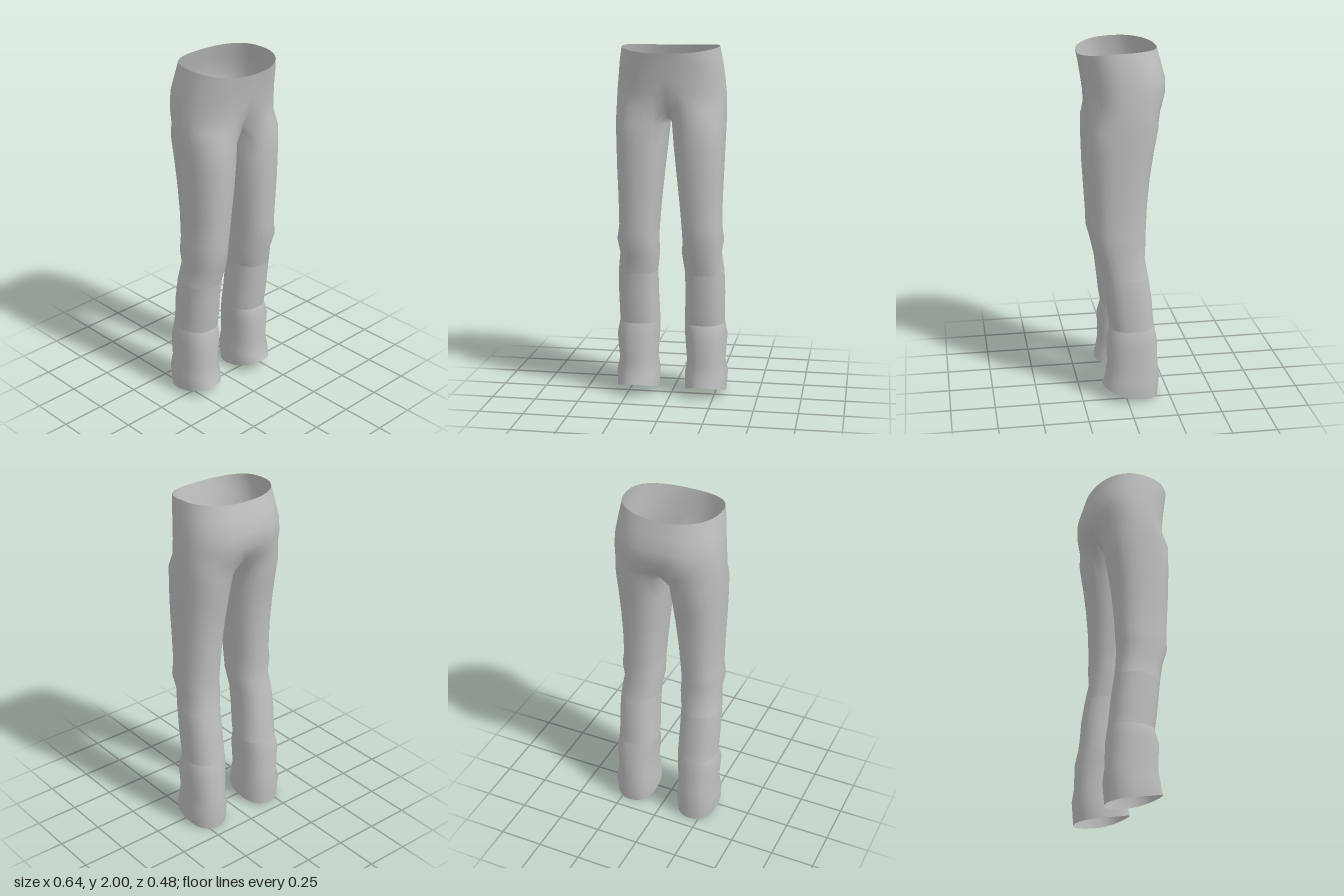
import * as THREE from 'three';
import { mergeGeometries, mergeVertices } from 'three/addons/utils/BufferGeometryUtils.js';

const rad = THREE.MathUtils.degToRad;
// rounded-square version of sine and cosine
const soft = (v, p) => Math.sign(v) * Math.pow(Math.abs(v), p);
const OUTER = 18; // segments from front centre round the hip to back centre
const INNER = 6;  // segments along the inseam

// half cross-section of the hips: height, half width, front z, back z, centre dents
function hipRow([y, w, zf, zb, dentF, dentB], heightAt = () => y) {
  const row = [];
  for (let j = 0; j <= OUTER; j++) {
    const b = (j / OUTER) * Math.PI;
    const x = j === 0 || j === OUTER ? 0 : w * soft(Math.sin(b), 0.85);
    const k = Math.max(0, 1 - x / 0.13) ** 2;
    let z = (zf + zb) / 2 + ((zf - zb) / 2) * soft(Math.cos(b), 0.85);
    z += b < Math.PI / 2 ? -dentF * k : dentB * k;
    row.push(new THREE.Vector3(x, heightAt(b), z));
  }
  return row;
}

// closed cross-section of a leg: height, inner x, outer x, front z, back z
function legRow([y, xi, xo, zf, zb], heightAt = () => y) {
  const row = [];
  for (let j = 0; j <= OUTER + INNER; j++) {
    const a = rad(-45 + 15 * j);
    row.push(new THREE.Vector3(
      (xi + xo) / 2 + ((xo - xi) / 2) * soft(Math.sin(a), 0.87),
      heightAt(a),
      (zf + zb) / 2 + ((zf - zb) / 2) * soft(Math.cos(a), 0.87)));
  }
  return row;
}

// skin between successive rows, running downwards
function loft(rows) {
  const pos = [];
  for (let i = 0; i < rows.length - 1; i++) {
    const n = Math.min(rows[i].length, rows[i + 1].length) - 1;
    for (let j = 0; j < n; j++) {
      const a = rows[i][j], b = rows[i + 1][j], c = rows[i + 1][j + 1], d = rows[i][j + 1];
      for (const p of [a, b, c, a, c, d]) pos.push(p.x, p.y, p.z);
    }
  }
  const g = new THREE.BufferGeometry();
  g.setAttribute('position', new THREE.Float32BufferAttribute(pos, 3));
  return g;
}

// mirrored copy with the winding turned round again
function mirrored(geometry) {
  const g = geometry.clone().scale(-1, 1, 1);
  const p = g.attributes.position.array;
  for (let i = 0; i < p.length; i += 9) {
    for (let k = 0; k < 3; k++) [p[i + 3 + k], p[i + 6 + k]] = [p[i + 6 + k], p[i + 3 + k]];
  }
  return g;
}

function smooth(geometry) {
  geometry.deleteAttribute('normal');
  const g = mergeVertices(geometry, 1e-4);
  g.computeVertexNormals();
  return g;
}

export function createModel() {
  const group = new THREE.Group();
  group.name = 'trousers';
  const cloth = new THREE.MeshStandardMaterial({ color: 0xc0c0c0, side: THREE.DoubleSide });
  cloth.name = 'greyCloth';

  const add = (geometry, name) => {
    const mesh = new THREE.Mesh(smooth(geometry), cloth);
    mesh.name = name;
    group.add(mesh);
  };

  // hips, from the waistline down to the crotch
  const waist = hipRow([2, 0.27, 0.24, -0.193, 0, 0],
    (b) => 1.98 - 0.013 * Math.cos(b) + 0.018 * Math.sin(b) ** 2);
  const hips = [
    [1.91, 0.285, 0.228, -0.217, 0, 0],
    [1.83, 0.295, 0.215, -0.24, 0, 0.004],
    [1.75, 0.303, 0.205, -0.238, 0.008, 0.01],
  ].map((r) => hipRow(r));
  const crotch = hipRow([1.67, 0.307, 0.2, -0.218, 0.045, 0.03]);
  const front = crotch[0], back = crotch[OUTER];

  // crotch seam, dipping between the back and front centres
  const seam = [];
  for (let k = 1; k < INNER; k++) {
    const t = k / INNER;
    seam.push(new THREE.Vector3(0, 1.6 + 0.07 * Math.abs(2 * t - 1) ** 2.5,
      THREE.MathUtils.lerp(back.z, front.z, t)));
  }
  const fork = [...crotch, ...seam, front];

  // thighs and knees
  const thigh = [
    [1.58, 0.008, 0.307, 0.2, -0.185],
    [1.45, 0.02, 0.303, 0.2, -0.16],
    [1.3, 0.036, 0.298, 0.195, -0.137],
    [1.15, 0.052, 0.292, 0.185, -0.122],
    [1.0, 0.065, 0.29, 0.175, -0.115],
    [0.92, 0.07, 0.302, 0.172, -0.112],
    [0.84, 0.066, 0.288, 0.15, -0.11],
    [0.73, 0.08, 0.302, 0.125, -0.128],
  ].map((r) => legRow(r));

  // shins
  const shin = [
    [0.6, 0.08, 0.305, 0.11, -0.148],
    [0.5, 0.077, 0.303, 0.1, -0.156],
    [0.43, 0.075, 0.303, 0.088, -0.165],
  ].map((r) => legRow(r));

  // flared cuffs with a hem that rises at the front
  const cuff = [
    [0.35, 0.077, 0.318, 0.108, -0.18],
    [0.2, 0.088, 0.306, 0.105, -0.185],
    [0.13, 0.075, 0.322, 0.115, -0.194],
  ].map((r) => legRow(r));
  const hem = legRow([0, 0.08, 0.315, 0.13, -0.184],
    (a) => 0.0275 + 0.0375 * Math.cos(a) + 0.0125 * Math.cos(a) ** 2 - 0.0);

  const upper = loft([waist, ...hips, fork, ...thigh]);
  add(mergeGeometries([upper, mirrored(upper)]), 'hipsAndThighs');

  const lower = {
    Shin: loft([thigh[thigh.length - 1], ...shin]),
    Cuff: loft([shin[shin.length - 1], ...cuff, hem]),
  };
  for (const [part, geometry] of Object.entries(lower)) {
    add(geometry, 'left' + part);
    add(mirrored(geometry), 'right' + part);
  }
  return group;
}
